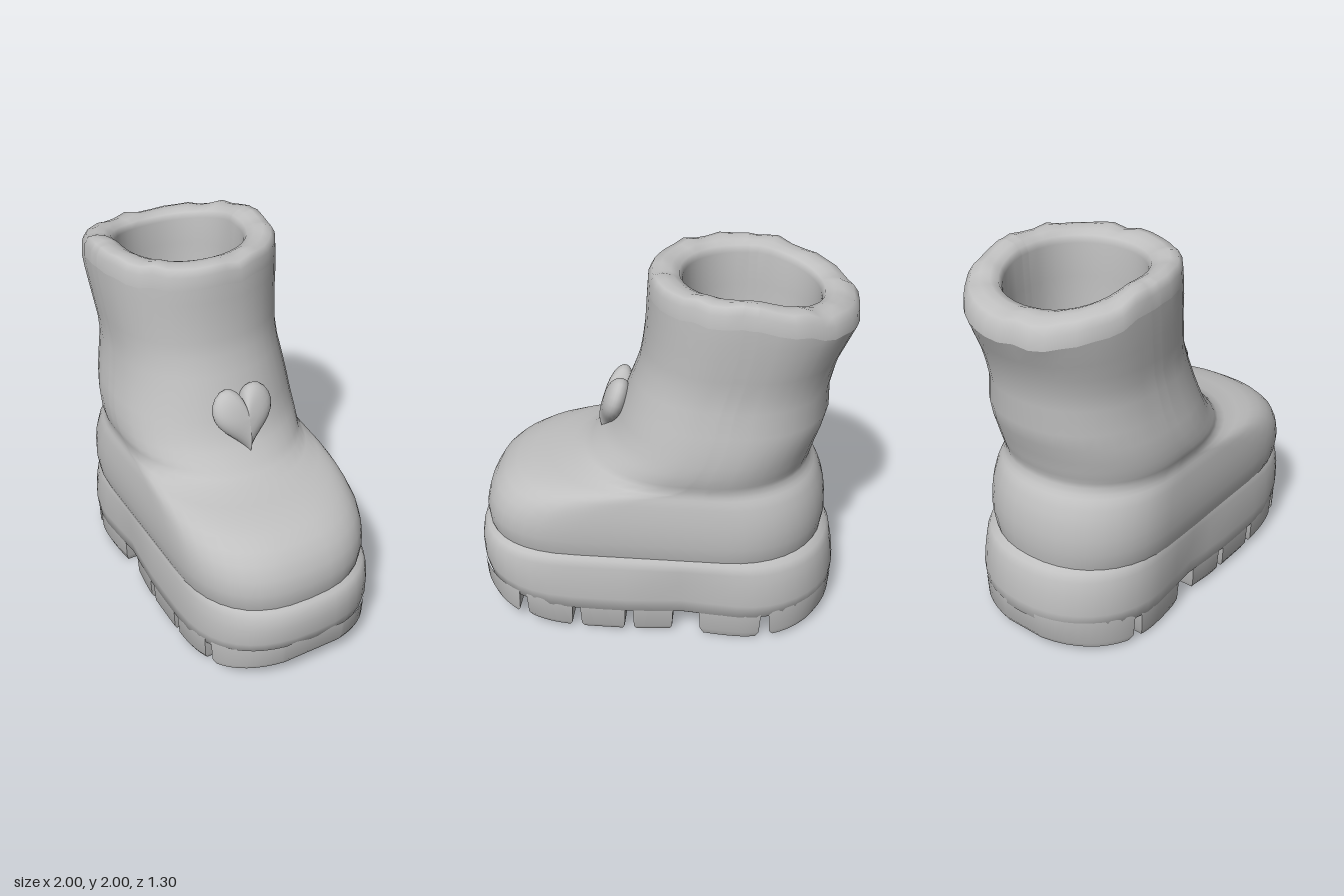
import * as THREE from 'three';
import { toCreasedNormals } from 'three/addons/utils/BufferGeometryUtils.js';

const clamp = (v) => Math.min(1, Math.max(0, v));

// Skin a list of closed rings (arrays of [x, y, z]) into one surface
function loft(rings) {
  const n = rings[0].length, index = [];
  for (let i = 0; i < rings.length - 1; i++) {
    for (let j = 0; j < n; j++) {
      const k = (j + 1) % n;
      const a = i * n + j, b = i * n + k, c = a + n, d = b + n;
      index.push(a, c, b, b, c, d);
    }
  }
  const g = new THREE.BufferGeometry();
  g.setAttribute('position', new THREE.Float32BufferAttribute(rings.flat(2), 3));
  g.setIndex(index);
  g.computeVertexNormals();
  return g;
}

// Foot-shaped outline: rounded heel and toe joined by straight sides
function outline([y, back, front, w, n = 2.1, vc = 0]) {
  const half = (front - back) / 2;
  const cb = Math.min(0.52, half * 0.92), cf = Math.min(0.56, half * 0.92);
  const A = 20, M = 6, pts = [];
  const pw = (v, e) => Math.sign(v) * Math.abs(v) ** (2 / e);
  const cap = (u0, len, start, e) => {
    for (let i = 0; i <= A; i++) {
      const t = start + Math.PI * i / A;
      const c = Math.abs(Math.cos(t)) < 1e-6 ? 0 : Math.cos(t);
      pts.push([u0 + len * pw(c, e), y, vc + w * pw(Math.sin(t), e)]);
    }
  };
  const side = (u0, u1, v) => {
    for (let i = 1; i < M; i++) pts.push([u0 + (u1 - u0) * i / M, y, vc + v]);
  };
  cap(front - cf, cf, -Math.PI / 2, n);
  side(front - cf, back + cb, w);
  cap(back + cb, cb, Math.PI / 2, 2.15);
  side(back + cb, front - cf, -w);
  return pts;
}

// Raise the toe and heel tips of the sole off the ground
function spring([u, y, v]) {
  const lift = 0.12 * clamp((u - 0.3) / 0.67) ** 2 + 0.035 * clamp((-u - 0.6) / 0.4);
  return [u, y + lift * clamp(1 - y / 0.48), v];
}

// Narrow the sole slightly at the arch
function waist([u, y, v]) {
  return [u, y, v * (1 - 0.05 * Math.exp(-(((u + 0.18) / 0.17) ** 2)) * clamp((0.5 - y) / 0.2))];
}

// Slant the shaft opening down at the back and ruffle the fleece rim
function ruffle([u, y, v]) {
  const k = clamp((y - 1.6) / 0.3);
  const a = Math.atan2(v, u + 0.46);
  const outer = clamp((Math.hypot(u + 0.47, v) - 0.36) / 0.1);
  const r = outer * clamp((y - 1.75) / 0.15) * (0.007 * Math.sin(11 * a) + 0.006 * Math.sin(17 * a + 1));
  return [u, y - 0.12 * k * clamp((-u - 0.52) / 0.48) + r - 0.006 * k, v];
}

export function createModel() {
  const model = new THREE.Group();
  const boot = new THREE.Group();
  boot.name = 'boot';
  boot.rotation.y = -0.253;
  model.add(boot);

  const grey = new THREE.MeshStandardMaterial({ color: 0xc0c0c0 });
  grey.name = 'plain grey';
  const add = (name, geometry) => {
    const m = new THREE.Mesh(geometry, grey);
    m.name = name;
    boot.add(m);
    return m;
  };

  // Thick platform sole: y, back, front, half width, toe squareness, side offset
  const sole = [
    [0.13, -0.4, 0.3, 0.001], [0.13, -0.97, 0.94, 0.485, 2.5],
    [0.16, -0.995, 0.975, 0.52, 2.5], [0.24, -1, 0.988, 0.528, 2.5],
    [0.36, -0.985, 0.99, 0.525, 2.5], [0.44, -0.97, 0.98, 0.518, 2.5],
    [0.485, -0.95, 0.96, 0.51, 2.5], [0.51, -0.91, 0.92, 0.49, 2.5, 0.01],
  ].map((row) => outline(row).map((p) => spring(waist(p))));
  add('sole', toCreasedNormals(loft(sole), 1.1));

  // Tread lugs, cut from the sole outline between pairs of grooves
  const halfWidth = (u) => {
    const c = u > 0.43 ? (u - 0.43) / 0.56 : u < -0.48 ? (-0.48 - u) / 0.52 : 0;
    const n = u > 0 ? 2.5 : 2.15;
    return 0.525 * clamp(1 - clamp(c) ** n) ** (1 / n);
  };
  const lugs = [[-0.99, -0.65], [-0.61, -0.27], [-0.13, 0.09], [0.13, 0.38],
    [0.42, 0.68], [0.72, 0.975]];
  lugs.forEach(([a, b], i) => {
    const mid = (a + b) / 2, K = 12, loop = [];
    const at = (k) => a + (b - a) * (1 - Math.cos(Math.PI * k / K)) / 2;
    for (let k = K; k >= 0; k--) loop.push([at(k), halfWidth(at(k))]);
    for (let k = 0; k <= K; k++) loop.push([at(k), -halfWidth(at(k))]);
    const ring = (y, su, sv) => loop.map(([u, v]) =>
      spring(waist([mid + (u - mid) * su, y, v * sv])));
    const base = i === 1 ? 0 : 0.012;
    add('treadLug', toCreasedNormals(loft([
      ring(base, 0, 0), ring(base, 0.84, 0.94), ring(0.045, 0.95, 0.975), ring(0.19, 1, 0.99),
    ]), 0.6));
  });

  // Rounded foot and shaft, with soft folds at the ankle
  const upper = [
    [0.46, -0.91, 0.93, 0.49, 2.5, 0.015], [0.52, -0.92, 0.945, 0.51, 2.5, 0.015],
    [0.6, -0.93, 0.95, 0.52, 2.5, 0.015], [0.68, -0.925, 0.93, 0.521, 2.5, 0.015],
    [0.75, -0.915, 0.89, 0.517, 2.5, 0.015], [0.8, -0.9, 0.84, 0.51, 2.4, 0.015],
    [0.84, -0.885, 0.775, 0.505, 2.3, 0.015], [0.87, -0.87, 0.69, 0.498, 2.2, 0.015],
    [0.89, -0.855, 0.59, 0.492, 2.1, 0.015], [0.91, -0.84, 0.47, 0.487, 2.1, 0.015],
    [0.94, -0.825, 0.4, 0.487, 2.1, 0.015], [0.97, -0.825, 0.36, 0.496, 2.1, 0.015],
    [1.0, -0.835, 0.33, 0.501, 2.1, 0.015], [1.04, -0.845, 0.285, 0.505, 2.1, 0.012],
    [1.1, -0.86, 0.24, 0.504, 2.1, 0.01], [1.18, -0.885, 0.205, 0.495, 2.1, 0.005],
    [1.27, -0.905, 0.175, 0.478], [1.4, -0.9, 0.125, 0.457],
    [1.5, -0.92, 0.09, 0.455], [1.58, -0.94, 0.075, 0.464],
    [1.7, -0.975, 0.06, 0.475], [1.8, -1.0, 0.055, 0.484],
  ];
  const rimStart = [1.88, -1.02, 0.05, 0.487];
  add('upper', loft([...upper, rimStart].map((r) => outline(r).map(ruffle))));

  // Padded rim, nearly flat on top, rolling over into the hollow lining
  const lining = [
    rimStart, [1.95, -1.015, 0.045, 0.482], [1.987, -0.985, 0.025, 0.46],
    [1.995, -0.93, -0.02, 0.42], [1.985, -0.88, -0.07, 0.375],
    [1.965, -0.84, -0.11, 0.34], [1.93, -0.825, -0.125, 0.325],
    [1.75, -0.82, -0.13, 0.32], [1.4, -0.8, -0.14, 0.31],
    [1.15, -0.74, -0.2, 0.26], [1.05, -0.64, -0.3, 0.165],
    [1.02, -0.54, -0.4, 0.07], [1.015, -0.471, -0.469, 0.001],
  ];
  add('rimAndLining', loft(lining.map((r) => outline(r).map(ruffle))));

  // Puffy heart ornament on the front of the ankle
  const heart = [];
  const steps = 7;
  for (let i = 0; i <= steps * 2; i++) {
    const a = -Math.PI / 2 + Math.PI * i / (steps * 2);
    const s = Math.max(0.001, Math.cos(a) ** 0.8);
    const ring = [];
    for (let j = 0; j < 36; j++) {
      const t = 2 * Math.PI * j / 36;
      const px = 16 * Math.sin(t) ** 3;
      const py = 13 * Math.cos(t) - 4.2 * Math.cos(2 * t) - 2 * Math.cos(3 * t) - Math.cos(4 * t);
      ring.push([px * 0.0107 * s, (py + 1) * 0.0132 * s, 0.07 * Math.sin(a)]);
    }
    heart.push(ring);
  }
  const ornament = add('heartOrnament', loft(heart));
  ornament.rotation.set(-0.3, Math.PI / 2, 0, 'YXZ');
  ornament.position.set(0.225, 1.19, 0.005);

  return model;
}
